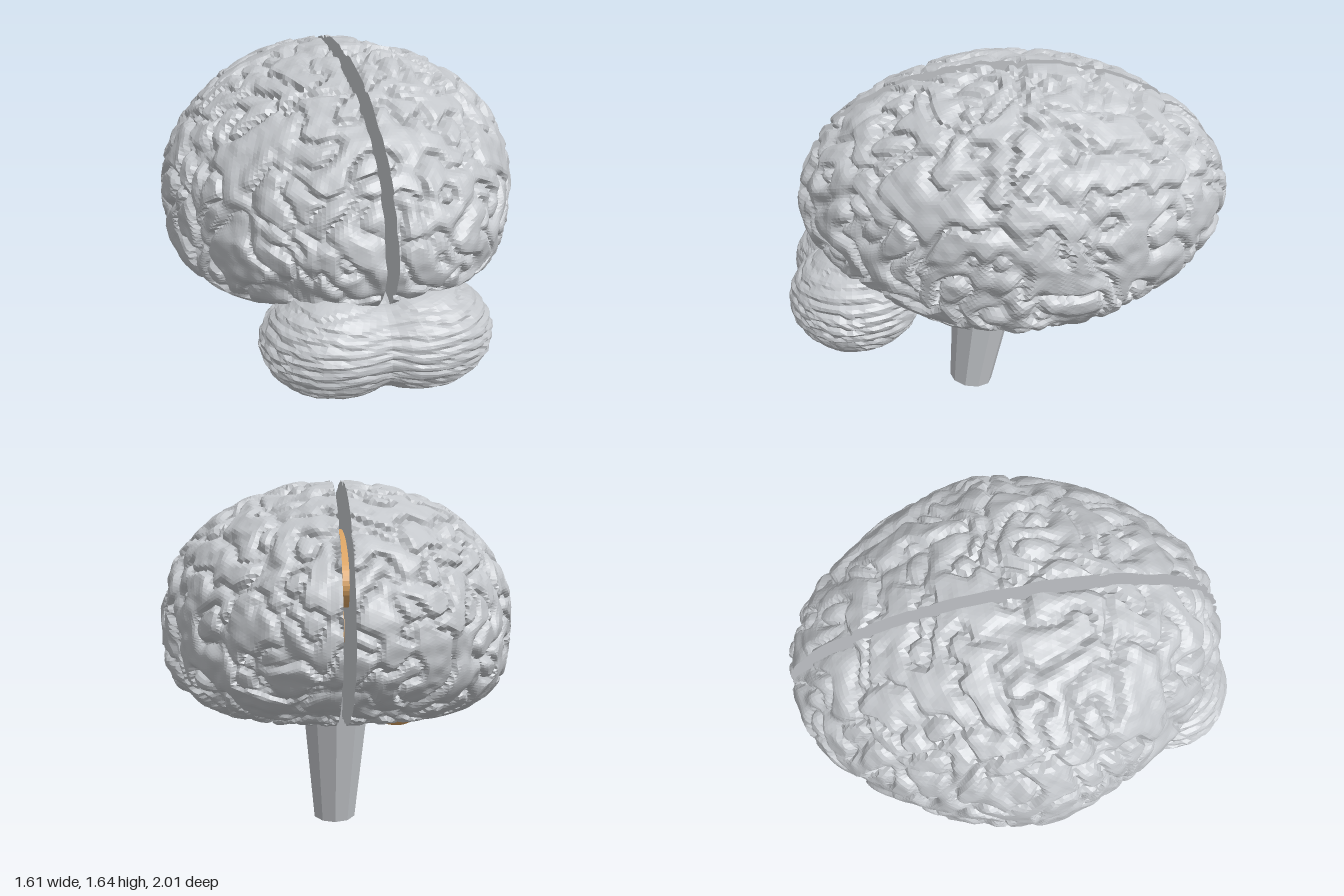
import * as THREE from 'three';

// Seeded lattice value noise in the range -1..1
function hash(x, y, z) {
  let h = (Math.imul(x, 374761393) + Math.imul(y, 668265263) + Math.imul(z, 1274126177)) | 0;
  h = Math.imul(h ^ (h >>> 13), 1103515245);
  return ((h ^ (h >>> 16)) >>> 0) / 2147483648 - 1;
}
const fade = t => t * t * (3 - 2 * t);
const lerp = THREE.MathUtils.lerp;
function noise(x, y, z) {
  const i = Math.floor(x), j = Math.floor(y), k = Math.floor(z);
  const u = fade(x - i), v = fade(y - j), w = fade(z - k);
  const row = (b, c) => lerp(hash(i, b, c), hash(i + 1, b, c), u);
  const slab = c => lerp(row(j, c), row(j + 1, c), v);
  return lerp(slab(k), slab(k + 1), w);
}

// Rounded folds separated by winding grooves: 0 in a groove, 1 on a fold
const tilt = new THREE.Euler(0.5, 0.6, 0.4);
function folds(point) {
  const p = point.clone().applyEuler(tilt).multiplyScalar(10);
  const wx = noise(p.x * 0.5 + 31, p.y * 0.5, p.z * 0.5) * 0.8;
  const wy = noise(p.x * 0.5, p.y * 0.5 + 57, p.z * 0.5) * 0.8;
  const t = Math.min(1, Math.abs(noise(p.x + wx, p.y + wy, p.z + wx)) * 2.2);
  return t * (2 - t);
}

// Move every vertex by a rule, then shade flat
function reshape(source, rule) {
  const geo = source.index ? source.toNonIndexed() : source;
  const pos = geo.attributes.position, p = new THREE.Vector3();
  for (let i = 0; i < pos.count; i++) {
    rule(p.fromBufferAttribute(pos, i));
    pos.setXYZ(i, p.x, p.y, p.z);
  }
  geo.computeVertexNormals();
  return geo;
}

// Half ellipsoid, fuller towards the lower outer edge, flat on the inner side
function hemisphereGeometry(side) {
  return reshape(new THREE.IcosahedronGeometry(1, 48), d => {
    const low = THREE.MathUtils.smoothstep(-d.y, 0, 0.5);
    const power = 2 + 1.3 * low * (1 - 0.7 * d.z * d.z);
    const taper = 2 - 0.36 * Math.abs(d.x);
    const cross = Math.pow(Math.abs(d.x) ** power + Math.abs(d.y) ** power, 1 / power);
    d.multiplyScalar(Math.pow(cross ** taper + Math.abs(d.z) ** taper, -1 / taper));
    d.set(d.x * 0.79, d.y * (d.y > 0 ? 0.62 : 0.485), d.z * 0.98);
    const depth = 0.042 * (1 - folds(d)) + 0.007 * (1 + noise(d.x * 20, d.y * 20, d.z * 20));
    d.addScaledVector(d.clone().normalize(), -depth);
    if (d.x * side < 0) d.x = 0;
    d.x += side * 0.025;
    d.y += 1.03;
    d.z -= 0.03;
  });
}

// Two merged lobes with a shallow waist and thin horizontal leaves
function cerebellumGeometry() {
  return reshape(new THREE.SphereGeometry(1, 80, 64), d => {
    const x = d.x * 0.5;
    const u = (Math.hypot(x, 0.02) - 0.18) / 0.32;
    const r = Math.sqrt(Math.max(0, 1 - u * u)) / (Math.hypot(d.y, d.z) || 1);
    const y = d.y * r, z = d.z * r;
    const leaf = Math.sqrt(Math.abs(Math.sin(y * 16 + noise(x * 7, y * 4, z * 4) * 1.2)));
    const s = 1.02 - 0.05 * (1 - leaf) - 0.012 * (1 + noise(x * 30, y * 18, z * 10));
    d.set(x * s, 0.602 + y * 0.239 * s, 0.7 + z * 0.3 * s);
  });
}

// Arched band joining the two halves
function archGeometry() {
  const shape = new THREE.Shape();
  shape.absellipse(0, 0, 0.54, 0.2, -0.5, Math.PI + 0.5, false, 0);
  shape.absellipse(0, -0.03, 0.4, 0.1, Math.PI + 0.3, -0.3, true, 0);
  const geo = new THREE.ExtrudeGeometry(shape, { depth: 0.1, bevelEnabled: false, curveSegments: 20 });
  geo.translate(0, 0, -0.05);
  geo.rotateY(Math.PI / 2);
  return geo;
}

export function createModel() {
  const model = new THREE.Group();
  model.name = 'brain';
  // Double sided for the open stem
  const grey = new THREE.MeshStandardMaterial({ color: 0xc4c7cb, side: THREE.DoubleSide });
  grey.name = 'pale grey';
  const tan = new THREE.MeshStandardMaterial({ color: 0xdca565 });
  tan.name = 'tan';

  const add = (name, geometry, material, x = 0, y = 0, z = 0) => {
    const mesh = new THREE.Mesh(geometry, material);
    mesh.name = name;
    mesh.position.set(x, y, z);
    model.add(mesh);
    return mesh;
  };

  // Outer parts
  add('leftHemisphere', hemisphereGeometry(1), grey);
  add('rightHemisphere', hemisphereGeometry(-1), grey);
  add('cerebellum', cerebellumGeometry(), grey);

  // Tapered leaning stem, open at both ends
  const stemGeometry = reshape(new THREE.CylinderGeometry(0.175, 0.102, 0.72, 10, 1, true), () => {});
  const stem = add('brainStem', stemGeometry, grey, 0, 0.373, 0.122);
  stem.rotation.x = -0.145;

  // Inner parts, seen through the gap and below
  add('connectingArch', archGeometry(), tan, 0, 1.22, -0.04);
  const core = add('innerCore', new THREE.SphereGeometry(1, 24, 16), tan, 0, 0.98, -0.02);
  core.scale.set(0.12, 0.12, 0.22);
  const nucleus = add('lowerNucleus', new THREE.SphereGeometry(1, 16, 12), tan, -0.25, 0.628, -0.3);
  nucleus.scale.set(0.1, 0.06, 0.1);

  return model;
}
